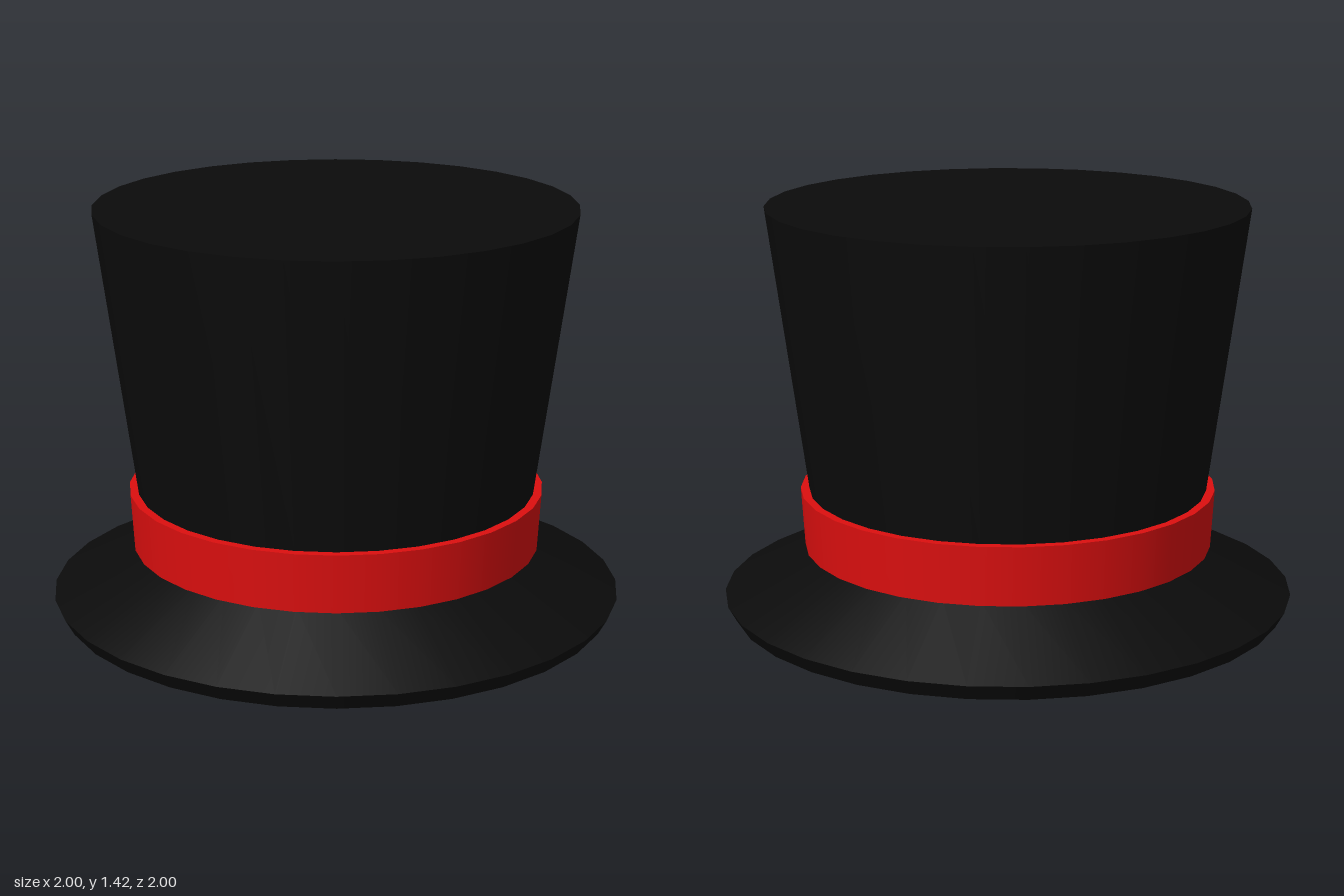
import * as THREE from 'three';
import { mergeGeometries } from 'three/addons/utils/BufferGeometryUtils.js';

const SIDES = 32;

// Revolves each pair of neighbouring [radius, y] points on its own, so corners stay sharp.
// Profiles run upward outside, then inward, then downward inside.
function revolve(name, material, ...profiles) {
  const strips = [];
  for (const profile of profiles) {
    for (let i = 0; i < profile.length - 1; i++) {
      const pair = [profile[i], profile[i + 1]].map(([r, y]) => new THREE.Vector2(r, y));
      strips.push(new THREE.LatheGeometry(pair, SIDES));
    }
  }
  const mesh = new THREE.Mesh(mergeGeometries(strips), material);
  mesh.name = name;
  return mesh;
}

export function createModel() {
  const black = new THREE.MeshStandardMaterial({ color: 0x0b0b0b });
  const red = new THREE.MeshStandardMaterial({ color: 0xdd0f0f });
  const hat = new THREE.Group();
  hat.name = 'topHat';

  // Sloping brim: underside, bevelled rim, upper face
  hat.add(revolve('brim', black,
    [[0.645, 0.175], [0.97, 0], [1, 0.055], [0.67, 0.22]]));

  // Band: raised outside, and showing as a groove on the inside
  hat.add(revolve('band', red,
    [[0.67, 0.22], [0.715, 0.22], [0.727, 0.425], [0.697, 0.425]],
    [[0.665, 0.37], [0.652, 0.175], [0.645, 0.175]]));

  // Hollow crown: outer wall and top, then ceiling, inner wall and lower ledge
  hat.add(revolve('crown', black,
    [[0.697, 0.425], [0.83, 1.42], [0, 1.42]],
    [[0, 1.36], [0.762, 1.36], [0.63, 0.37], [0.665, 0.37]]));

  return hat;
}
